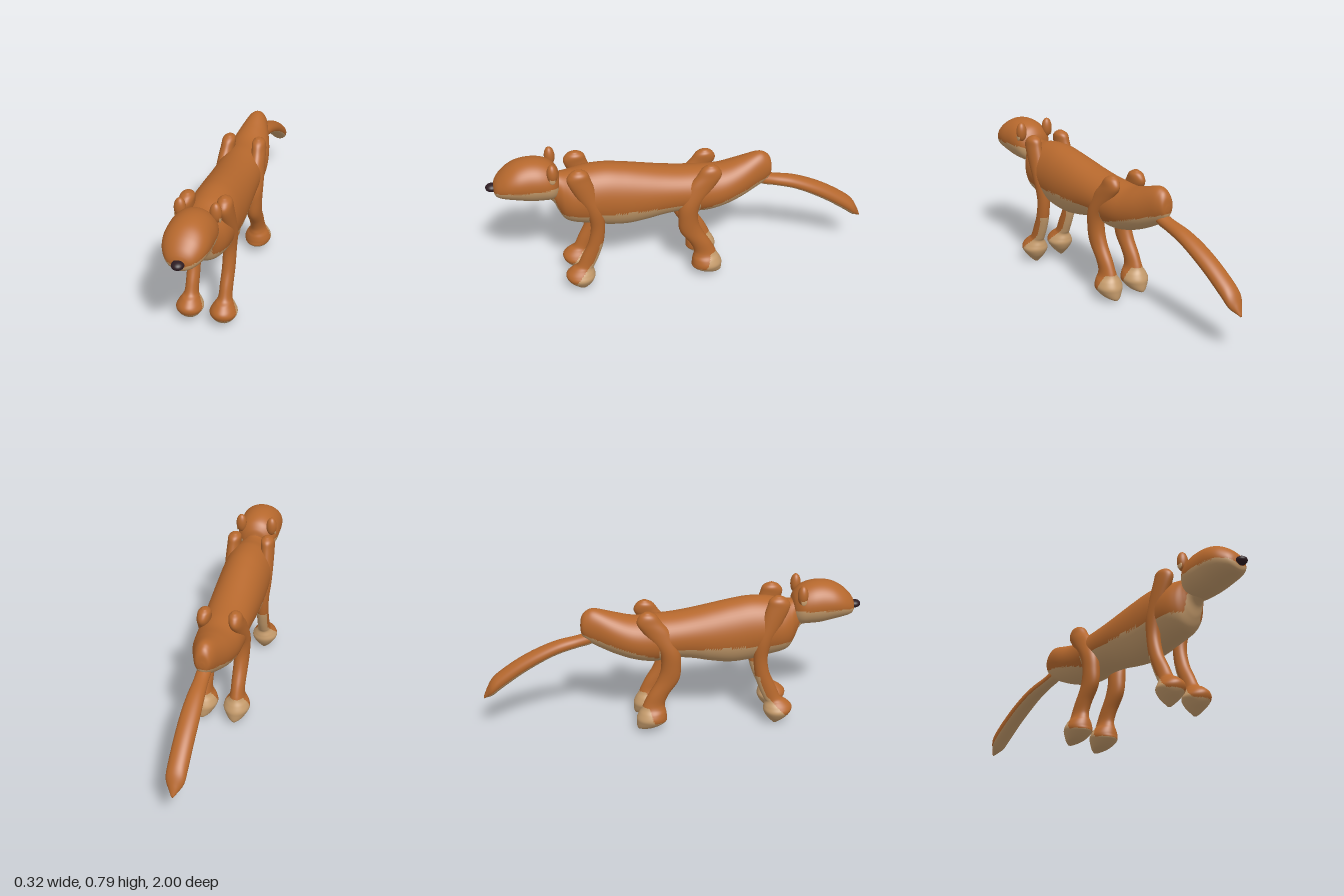
import * as THREE from 'three';

const fur = new THREE.MeshStandardMaterial({ color: 0xb6682d });
fur.name = 'orange fur';
const cream = new THREE.MeshStandardMaterial({ color: 0xc69c6c });
cream.name = 'cream fur';
const dark = new THREE.MeshStandardMaterial({ color: 0x2e1c22 });
dark.name = 'dark nose';

// Smooth loft of elliptical sections, stacked upwards along y or forwards along z.
// Section: [position along axis, x, other coordinate, x radius, other radius]
// isCream(point, normal) picks the faces that get the cream colour.
function loft(name, axis, sections, isCream, rings = 100, sides = 56) {
  const path = new THREE.CatmullRomCurve3(
    sections.map((s) => new THREE.Vector3(s[1], s[2], s[0])), false, 'catmullrom', 0.5);
  const size = new THREE.CatmullRomCurve3(
    sections.map((s) => new THREE.Vector3(s[3], s[4], 0)), false, 'catmullrom', 0.5);
  const pos = [];
  const put = (x, other, along) =>
    axis === 'z' ? pos.push(x, other, along) : pos.push(x, along, other);
  for (let i = 0; i <= rings; i++) {
    const c = path.getPoint(i / rings);
    const r = size.getPoint(i / rings);
    for (let j = 0; j < sides; j++) {
      const a = (j / sides) * Math.PI * 2;
      const up = axis === 'z' ? Math.sin(a) : -Math.sin(a);
      put(c.x + Math.max(r.x, 0.002) * Math.cos(a), c.y + Math.max(r.y, 0.002) * up, c.z);
    }
  }
  const ends = [path.getPoint(0), path.getPoint(1)];
  ends.forEach((e) => put(e.x, e.y, e.z));

  const faces = [];
  const base = (rings + 1) * sides;
  for (let j = 0; j < sides; j++) {
    const k = (j + 1) % sides;
    for (let i = 0; i < rings; i++) {
      const a = i * sides;
      const b = a + sides;
      faces.push([a + j, a + k, b + j], [a + k, b + k, b + j]);
    }
    faces.push([base, k, j], [base + 1, rings * sides + j, rings * sides + k]);
  }

  // Sort faces into the two colours
  const lists = [[], []];
  const vert = (i) => new THREE.Vector3().fromArray(pos, i * 3);
  for (const f of faces) {
    const tri = new THREE.Triangle(...f.map(vert));
    const p = tri.getMidpoint(new THREE.Vector3());
    const n = tri.getNormal(new THREE.Vector3());
    lists[isCream(p, n) ? 1 : 0].push(...f);
  }
  const geo = new THREE.BufferGeometry();
  geo.setAttribute('position', new THREE.Float32BufferAttribute(pos, 3));
  geo.setIndex([...lists[0], ...lists[1]]);
  geo.addGroup(0, lists[0].length, 0);
  geo.addGroup(lists[0].length, lists[1].length, 1);
  geo.computeVertexNormals();
  const mesh = new THREE.Mesh(geo, [fur, cream]);
  mesh.name = name;
  return mesh;
}

// Side profile [z, top, bottom, half width] turned into sections
const profile = (rows) =>
  rows.map(([z, top, bottom, w]) => [z, 0, (top + bottom) / 2, w, (top - bottom) / 2]);

function blob(name, material, [x, y, z], [rx, ry, rz]) {
  const mesh = new THREE.Mesh(new THREE.SphereGeometry(1, 32, 20), material);
  mesh.position.set(x, y, z);
  mesh.scale.set(rx, ry, rz);
  mesh.name = name;
  return mesh;
}

export function createModel() {
  const model = new THREE.Group();
  model.name = 'longBodiedAnimal';

  // Body with neck, cream belly and throat
  const body = profile([
    [-0.478, 0.605, 0.575, 0.012], [-0.47, 0.65, 0.545, 0.035], [-0.445, 0.68, 0.515, 0.05],
    [-0.4, 0.69, 0.485, 0.066], [-0.3, 0.66, 0.435, 0.098], [-0.2, 0.635, 0.4, 0.116],
    [-0.1, 0.638, 0.385, 0.122], [0, 0.645, 0.4, 0.123], [0.1, 0.66, 0.39, 0.126],
    [0.2, 0.68, 0.368, 0.13], [0.3, 0.7, 0.354, 0.132], [0.4, 0.714, 0.362, 0.132],
    [0.5, 0.71, 0.385, 0.13], [0.57, 0.695, 0.4, 0.12], [0.615, 0.69, 0.42, 0.1],
    [0.645, 0.695, 0.47, 0.075], [0.67, 0.7, 0.53, 0.062], [0.72, 0.69, 0.57, 0.05],
  ]);
  model.add(loft('body', 'z', body, (p) => {
    const edge = p.z > -0.08 ? 0.482 : 0.43 + (-0.08 - p.z) * 0.34;
    return p.y < edge || (p.z > 0.58 && Math.abs(p.x) < 0.058 && p.y < 0.63);
  }, 140));

  // Head with cream jaw
  const head = profile([
    [0.628, 0.69, 0.62, 0.03], [0.64, 0.725, 0.575, 0.07], [0.67, 0.76, 0.556, 0.1],
    [0.72, 0.781, 0.556, 0.112], [0.78, 0.787, 0.56, 0.114], [0.84, 0.776, 0.574, 0.112],
    [0.89, 0.75, 0.584, 0.1], [0.93, 0.715, 0.592, 0.077], [0.952, 0.685, 0.604, 0.052],
    [0.963, 0.655, 0.63, 0.015],
  ]);
  model.add(loft('head', 'z', head,
    (p) => p.y < 0.622 + 0.035 * Math.min(1, Math.abs(p.x) / 0.1)));
  model.add(blob('nose', dark, [0, 0.645, 0.968], [0.03, 0.021, 0.032]));

  // Tail, cream underneath
  const tail = [
    [-1, 0, 0.212, 0.006, 0.006], [-0.98, 0, 0.24, 0.024, 0.026], [-0.95, 0, 0.273, 0.046, 0.045],
    [-0.9, 0, 0.315, 0.05, 0.048], [-0.8, 0, 0.384, 0.05, 0.046], [-0.7, 0, 0.44, 0.049, 0.041],
    [-0.6, 0, 0.483, 0.044, 0.036], [-0.5, 0, 0.509, 0.037, 0.032], [-0.44, 0, 0.525, 0.036, 0.034],
    [-0.4, 0, 0.54, 0.03, 0.03],
  ];
  model.add(loft('tail', 'z', tail, (p, n) => n.y < -0.45));

  // Legs run from the sole up to the raised shoulder or hip
  const frontLeg = [
    [0.002, 0.088, 0.55, 0.008, 0.01], [0.02, 0.088, 0.552, 0.028, 0.028],
    [0.05, 0.088, 0.557, 0.053, 0.058], [0.083, 0.088, 0.56, 0.07, 0.076],
    [0.11, 0.088, 0.56, 0.06, 0.074], [0.138, 0.088, 0.548, 0.042, 0.057],
    [0.16, 0.088, 0.527, 0.034, 0.047], [0.22, 0.088, 0.5, 0.033, 0.046],
    [0.3, 0.09, 0.47, 0.033, 0.04], [0.4, 0.092, 0.456, 0.034, 0.037],
    [0.5, 0.098, 0.468, 0.037, 0.045], [0.6, 0.099, 0.505, 0.036, 0.055],
    [0.69, 0.095, 0.538, 0.037, 0.06], [0.73, 0.092, 0.538, 0.034, 0.046],
    [0.75, 0.09, 0.538, 0.012, 0.015],
  ];
  const hindLeg = [
    [0.018, 0.088, -0.175, 0.014, 0.02], [0.032, 0.088, -0.145, 0.04, 0.055],
    [0.06, 0.088, -0.123, 0.062, 0.079], [0.085, 0.088, -0.121, 0.07, 0.08],
    [0.115, 0.088, -0.116, 0.06, 0.072], [0.14, 0.088, -0.112, 0.044, 0.062],
    [0.17, 0.088, -0.106, 0.037, 0.056], [0.22, 0.088, -0.083, 0.037, 0.055],
    [0.3, 0.088, -0.034, 0.039, 0.058], [0.38, 0.09, -0.018, 0.041, 0.052],
    [0.47, 0.094, -0.028, 0.04, 0.055], [0.57, 0.09, -0.085, 0.036, 0.07],
    [0.63, 0.084, -0.128, 0.036, 0.065], [0.67, 0.08, -0.136, 0.032, 0.045],
    [0.69, 0.078, -0.138, 0.012, 0.015],
  ];
  const frontCream = (p, n) =>
    p.y < 0.69 - 1.04 * p.z || p.y < 0.07 || (p.y < 0.3 && n.z < -0.4);
  const hindCream = (p, n) =>
    (p.y < 0.15 && p.z < -0.1 - 0.3 * (p.y - 0.03)) || (p.y < 0.075 && n.y < -0.35);
  const place = (rows, s) => rows.map(([y, x, z, rx, rz]) => [y, s * x, z, rx, rz]);

  for (const [side, s] of [['left', 1], ['right', -1]]) {
    model.add(loft(side + 'FrontLeg', 'y', place(frontLeg, s), frontCream));
    model.add(loft(side + 'HindLeg', 'y', place(hindLeg, s), hindCream));

    // Ear with a small cream patch at its base
    const ear = new THREE.Group();
    ear.name = side + 'Ear';
    ear.add(blob('earLobe', fur, [s * 0.086, 0.742, 0.666], [0.029, 0.053, 0.027]));
    ear.add(blob('earPatch', cream, [s * 0.108, 0.712, 0.668], [0.004, 0.018, 0.015]));
    model.add(ear);
  }
  return model;
}
